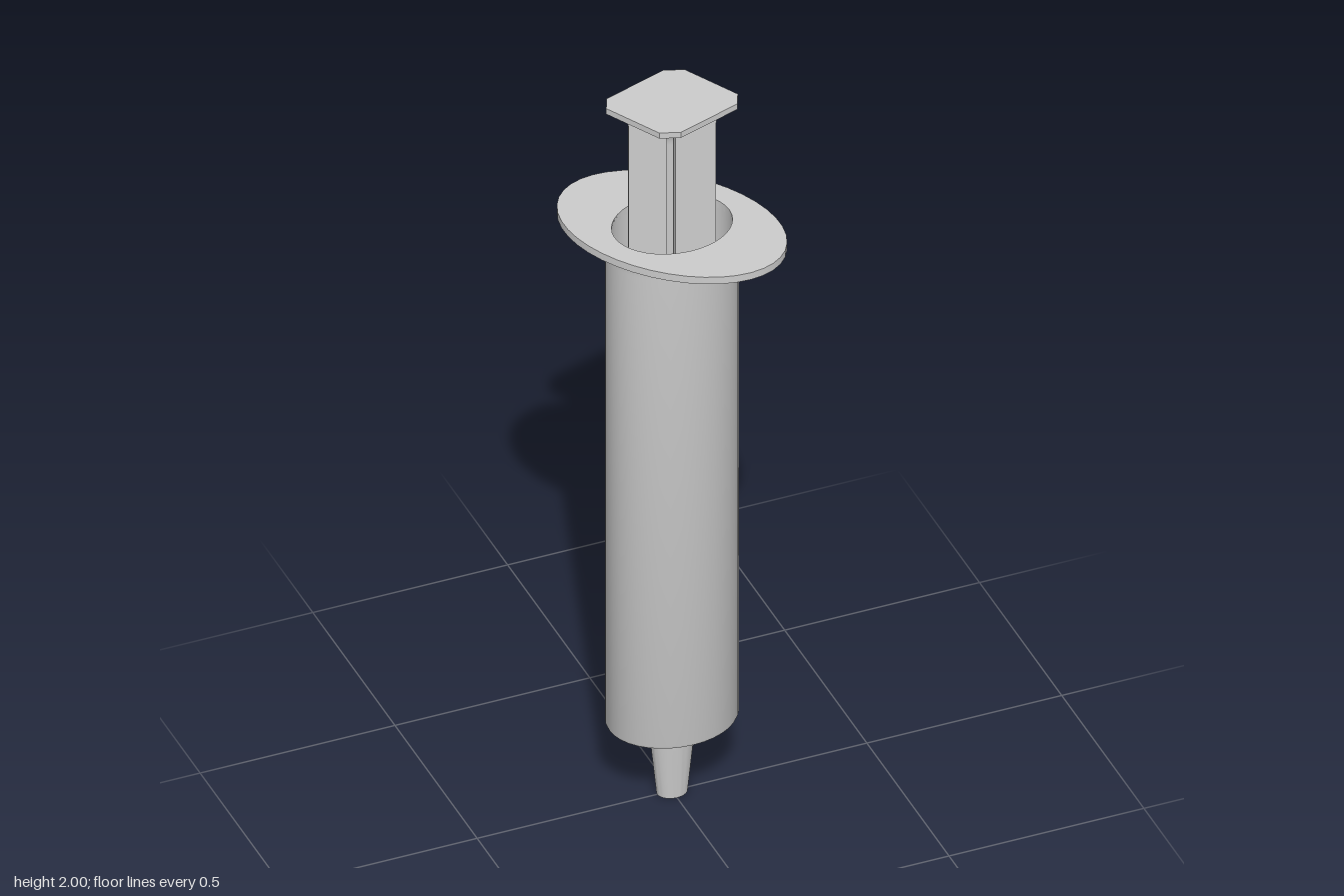
import * as THREE from 'three';
import { toCreasedNormals } from 'three/addons/utils/BufferGeometryUtils.js';

const OVAL = 0.815; // depth / width of the slightly oval barrel

export function createModel() {
  const root = new THREE.Group();
  const material = new THREE.MeshStandardMaterial({ color: 0xcccccc });

  const add = (name, geometry, parent = root) => {
    const mesh = new THREE.Mesh(toCreasedNormals(geometry, 0.5), material);
    mesh.name = name;
    parent.add(mesh);
    return mesh;
  };
  // Oval solid of revolution from [radius, height] pairs
  const turned = (pairs) =>
    new THREE.LatheGeometry(pairs.map(([r, y]) => new THREE.Vector2(r, y)), 36).scale(1, 1, OVAL);
  // Flat plate drawn in x/z with its top face at the given height
  const plate = (shape, top, depth) =>
    new THREE.ExtrudeGeometry(shape, { depth, bevelEnabled: false, curveSegments: 20 })
      .rotateX(Math.PI / 2)
      .translate(0, top, 0);

  // Hollow barrel with its tapered nozzle and bore
  add('barrel', turned([
    [0.016, 0.24], [0.016, 0], [0.038, 0], [0.058, 0.2],
    [0.16, 0.218], [0.163, 0.225], [0.163, 1.58], [0.166, 1.61], [0.172, 1.63],
    [0.147, 1.64], [0.147, 0.25], [0.016, 0.24],
  ]));

  // Oval finger flange, turned relative to the barrel
  const flange = new THREE.Shape();
  flange.absellipse(0, 0, 0.291, 0.194, 0, Math.PI * 2, false, THREE.MathUtils.degToRad(51));
  const hole = new THREE.Path();
  hole.absellipse(0, 0, 0.147, 0.147 * OVAL, 0, Math.PI * 2, true);
  flange.holes.push(hole);
  add('fingerFlange', plate(flange, 1.645, 0.02));

  // Plunger: thumb rest, crossed ribs and piston
  const plunger = new THREE.Group();
  plunger.name = 'plunger';
  root.add(plunger);

  const half = [[0.03, -0.125], [0.078, -0.108], [0.155, 0.033], [0.138, 0.07]];
  const outline = [...half, ...half.map(([x, z]) => [-x, -z])];
  const cap = new THREE.Shape(outline.map(([x, z]) => new THREE.Vector2(x, z)));
  add('thumbRest', plate(cap, 2, 0.016), plunger);

  // Ribs point at the cut corners of the thumb rest and flare out beneath it
  const thickness = 0.017;
  for (const [x, z] of [[0.098, 0.034], [-0.038, 0.078]]) {
    const w = Math.hypot(x, z);
    const flare = w * 1.38;
    const rib = new THREE.Shape();
    rib.moveTo(-w, 0.4);
    rib.lineTo(w, 0.4);
    rib.lineTo(w, 1.935);
    rib.quadraticCurveTo(w * 1.02, 1.975, flare, 1.986);
    rib.lineTo(-flare, 1.986);
    rib.quadraticCurveTo(-w * 1.02, 1.975, -w, 1.935);
    const geometry = new THREE.ExtrudeGeometry(rib, { depth: thickness, bevelEnabled: false, curveSegments: 6 })
      .translate(0, 0, -thickness / 2)
      .rotateY(-Math.atan2(z, x));
    add('plungerRib', geometry, plunger);
  }

  add('piston', turned([[0, 0.27], [0.145, 0.3], [0.145, 0.41], [0, 0.42]]), plunger);

  return root;
}
